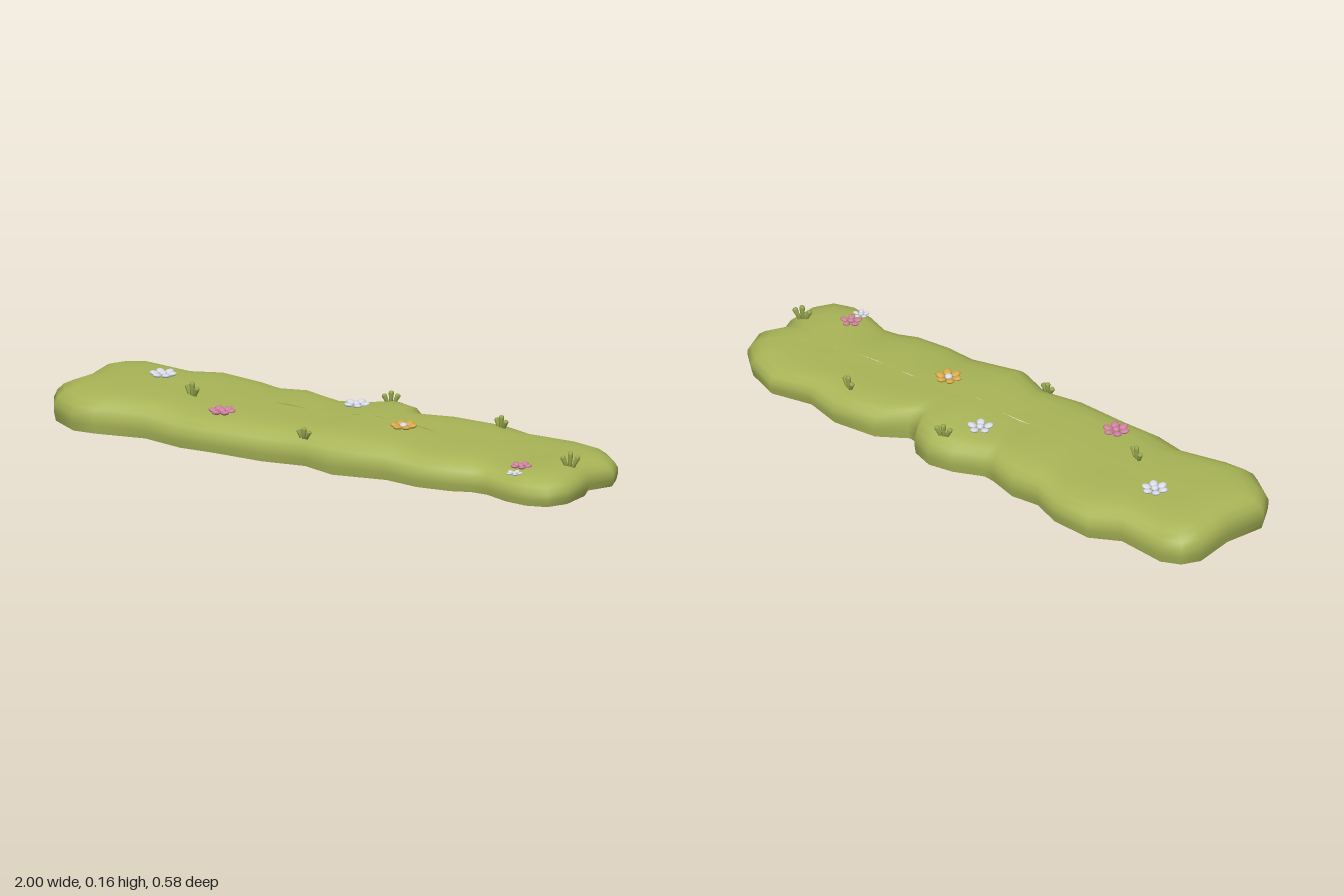
import * as THREE from 'three';

const mat = (name, color, side = THREE.FrontSide) => {
  const m = new THREE.MeshStandardMaterial({ color, side });
  m.name = name;
  return m;
};

// Wavy plan of the mound: x, z pairs along the front, then back along the rear
const OUTLINE = [
  -1, .125, -.955, .205, -.85, .275, -.77, .27, -.6, .235, -.45, .27, -.33, .265,
  -.14, .27, .01, .245, .135, .287, .32, .25, .445, .27, .565, .255, .63, .23,
  .69, .23, .78, .265, .86, .275, .93, .255, .97, .19, .975, .08, .955, .02,
  1, -.06, .975, -.135, .905, -.2, .785, -.25, .64, -.22, .51, -.26, .35, -.245,
  .255, -.18, .215, -.185, .18, -.24, .1, -.27, .01, -.255, -.09, -.21, -.13, -.215,
  -.24, -.25, -.34, -.24, -.45, -.285, -.6, -.295, -.7, -.24, -.88, -.26,
  -.945, -.23, -.98, -.17, -.97, -.02,
];

// Height of the crest along x
const CREST = [[-1, .12], [-.8, .125], [-.6, .119], [-.4, .109], [-.2, .119], [-.04, .108],
  [.12, .128], [.25, .122], [.4, .105], [.55, .106], [.73, .09], [.85, .099], [1, .09]];

function crest(x) {
  let i = 0;
  while (i < CREST.length - 2 && x > CREST[i + 1][0]) i++;
  const [x0, y0] = CREST[i], [x1, y1] = CREST[i + 1];
  return y0 + (y1 - y0) * THREE.MathUtils.smoothstep(x, x0, x1);
}

// Rings from rim to spine: inset fraction, height fraction
const RINGS = [[.025, 0], [.005, .22], [0, .45], [.045, .66], [.13, .83], [.25, .93], [.42, .98], [.7, 1], [1, 1]];

function moundGeometry() {
  const n = OUTLINE.length / 2, pos = [], index = [];
  for (const [t, f] of RINGS) {
    for (let i = 0; i < n; i++) {
      const x0 = OUTLINE[2 * i], z0 = OUTLINE[2 * i + 1];
      const x = THREE.MathUtils.lerp(x0, x0 * .78, t);
      pos.push(x, crest(x) * f, z0 * (1 - t));
    }
  }
  for (let r = 0; r < RINGS.length - 1; r++) {
    for (let i = 0; i < n; i++) {
      const a = r * n + i, b = r * n + (i + 1) % n;
      index.push(a, b, b + n, a, b + n, a + n);
    }
  }
  const g = new THREE.BufferGeometry();
  g.setAttribute('position', new THREE.Float32BufferAttribute(pos, 3));
  g.setIndex(index);
  g.computeVertexNormals();
  // the spine is a seam, so its normals point straight up
  for (let i = n * (RINGS.length - 1); i < n * RINGS.length; i++) g.attributes.normal.setXYZ(i, 0, 1, 0);
  return g;
}

// Height of the mound surface, lower near its front and back rims
const ground = (x, z) => crest(x) * (1 - .12 * THREE.MathUtils.smoothstep(Math.abs(z), .12, .23));

export function createModel() {
  const group = new THREE.Group();
  const turf = mat('turf green', 0xa9b557, THREE.DoubleSide);
  const blade = mat('grass green', 0x95a54c);
  const white = mat('petal white', 0xd6d9e6);
  const pink = mat('petal pink', 0xcd7f9c);
  const yellow = mat('petal yellow', 0xd6a848);

  const add = (parent, name, geometry, material) => {
    const mesh = new THREE.Mesh(geometry, material);
    mesh.name = name;
    parent.add(mesh);
    return mesh;
  };

  add(group, 'mound', moundGeometry(), turf);

  // Flowers: flattened petals around a small centre
  const ball = new THREE.SphereGeometry(1, 12, 8);
  const flower = (x, z, size, petals, petalMat, centreMat) => {
    const f = new THREE.Group();
    f.name = 'flower';
    f.position.set(x, ground(x, z) + .003, z);
    for (let i = 0; i < petals; i++) {
      const arm = new THREE.Group();
      arm.name = 'petalArm';
      arm.rotation.y = (i / petals) * Math.PI * 2 + .3;
      const p = add(arm, 'petal', ball, petalMat);
      p.scale.set(size * .36, size * .16, size * .31);
      p.position.set(size * .64, size * .05, 0);
      p.rotation.z = .2;
      f.add(arm);
    }
    const c = add(f, 'flowerCentre', ball, centreMat);
    c.scale.set(size * .29, size * .2, size * .29);
    c.position.y = size * .06;
    group.add(f);
  };
  flower(-.7, -.07, .046, 6, white, white);
  flower(0, -.12, .045, 5, white, white);
  flower(.27, .045, .046, 6, yellow, white);
  flower(-.35, .155, .046, 6, pink, pink);
  flower(.775, .155, .037, 5, pink, pink);
  flower(.785, .218, .028, 5, white, white);

  // Grass tufts: three rounded blades fanning out in a row
  const bladeGeo = new THREE.LatheGeometry(
    [[0, -.2], [.13, -.2], [.16, .4], [.2, .8], [.17, .93], [.09, .99], [0, 1]]
      .map(([r, y]) => new THREE.Vector2(r, y)), 10);
  const tuft = (x, z, height, turn) => {
    const t = new THREE.Group();
    t.name = 'grassTuft';
    t.position.set(x, ground(x, z) - .004, z);
    t.rotation.y = turn;
    for (const [dx, lean, k] of [[-.012, .4, .75], [0, -.05, 1], [.012, -.45, .8]]) {
      const b = add(t, 'grassBlade', bladeGeo, blade);
      b.position.x = dx;
      b.rotation.z = lean;
      b.scale.set(.045, height * k, .045);
    }
    group.add(t);
  };
  tuft(.07, -.222, .04, .4);
  tuft(.51, -.178, .044, -.4);
  tuft(-.52, .055, .048, -.4);
  tuft(-.005, .222, .032, -.1);
  tuft(.91, .07, .048, .4);

  return group;
}
